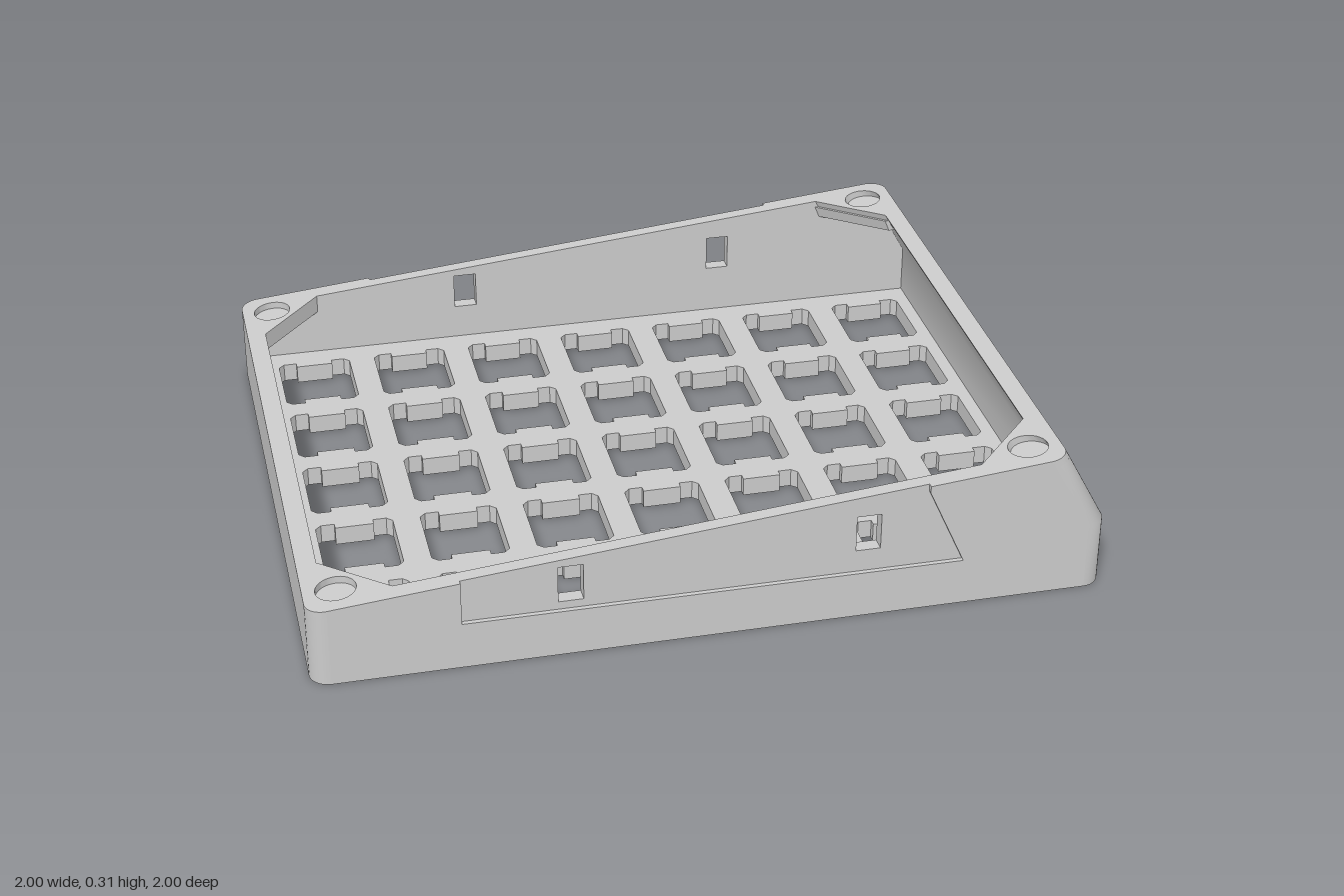
import * as THREE from 'three';
import { toCreasedNormals } from 'three/addons/utils/BufferGeometryUtils.js';

// Local frame: x = length (tall end at +x), z = width; the whole tray is turned 45 degrees.
const L = 0.8, W = 0.64, T = 0.04;        // half length, half width, wall thickness and corner radius
const RIM = 0.015, BREAK = 0.145;         // rim layer thickness, height where the tall end starts to lean
const LEAN_TOP = 0.09, LEAN_LOW = 0.082;  // lean of the tall end above and below the rim layer
const top = x => 0.165 + 0.096 * (x + L); // sloping top plane
const V = (x, y) => new THREE.Vector2(x, y);
const mat = new THREE.MeshStandardMaterial({ color: 0xcccccc });

function add(group, name, geo, z = 0) {
  const m = new THREE.Mesh(toCreasedNormals(geo, 0.6), mat);
  m.name = name;
  m.position.z = z;
  group.add(m);
}

const extrude = (shape, depth) =>
  new THREE.ExtrudeGeometry(shape, { depth, bevelEnabled: false, curveSegments: 16 });

// Horizontal slab that follows the sloping top plane, `drop` below it
function slopedSlab(shape, depth, drop, lean) {
  const g = extrude(shape, depth).rotateX(-Math.PI / 2);
  const p = g.attributes.position;
  for (let i = 0; i < p.count; i++) {
    const x = p.getX(i), y = p.getY(i);
    if (x > 0.5 && y < depth / 2) p.setX(i, x + lean);
    p.setY(i, y - depth - drop + top(x));
  }
  g.computeVertexNormals();
  return g;
}

// Grid plate: 7 x 5 openings, each with a clip tab on two sides
function gridPlate() {
  const il = L - T, iw = W - T;
  const s = new THREE.Shape([V(-il, -iw), V(il, -iw), V(il, iw), V(-il, iw)]);
  const a = 0.08, b = 0.09, c = 0.012, t = 0.04, n = 0.075;
  const quarter = [[a, b - c], [a - c, b], [t, b], [t, n]];
  const outline = [
    ...quarter,
    ...quarter.slice().reverse().map(([x, y]) => [-x, y]),
    ...quarter.map(([x, y]) => [-x, -y]),
    ...quarter.slice().reverse().map(([x, y]) => [x, -y]),
  ];
  for (let i = -3; i <= 3; i++)
    for (let j = -2; j <= 2; j++)
      s.holes.push(new THREE.Path(outline.map(([x, y]) => V(x + i * 0.217, y + j * 0.23))));
  return extrude(s, 0.04).rotateX(-Math.PI / 2);
}

// End wall with rounded corners, swept as a six-point section around the end
function endWall(sign) {
  const path = [];
  for (const side of [1, -1])
    for (let k = 0; k <= 8; k++) {
      const ang = (side > 0 ? Math.PI / 2 : 0) - k * Math.PI / 16;
      path.push([ang, side]);
    }
  const rings = path.map(([ang, side]) => {
    const ix = L - T, iz = side * (W - T);
    const ox = ix + T * Math.cos(ang), oz = iz + T * Math.sin(ang);
    const at = (x, z, level) => {
      const lean = sign > 0 && level === 2 ? LEAN_LOW : 0;
      const px = sign * (x - lean);
      const y = level === 0 ? 0 : level === 1 ? (sign > 0 ? BREAK : 0.08) : top(px) - RIM;
      return [px, y, sign * z];
    };
    return [at(ox, oz, 0), at(ox, oz, 1), at(ox, oz, 2), at(ix, iz, 2), at(ix, iz, 1), at(ix, iz, 0)];
  });
  const pos = rings.flat(2), idx = [];
  for (let i = 0; i < rings.length - 1; i++)
    for (let j = 0; j < 6; j++) {
      const k = (j + 1) % 6, p = i * 6, q = p + 6;
      idx.push(p + j, q + j, q + k, p + j, q + k, p + k);
    }
  const g = new THREE.BufferGeometry();
  g.setAttribute('position', new THREE.Float32BufferAttribute(pos, 3));
  g.setIndex(idx);
  return g;
}

// Side wall profile in (x, y), without or with the cut for the recessed panel
const P0 = -0.505, P1 = 0.5, P2 = 0.424;  // panel ends: front, rear bottom, rear top
function sideProfile(cut) {
  const e = L - T, b = e - LEAN_LOW, y = x => top(x) - RIM;
  const pts = [V(-e, 0), V(e, 0), V(e, BREAK), V(b, y(b))];
  if (cut) pts.push(V(P2, y(P2)), V(P1, 0.1), V(P0, 0.1), V(P0, y(P0)));
  pts.push(V(-e, y(-e)));
  return new THREE.Shape(pts);
}

// Rim layer: rounded outline, panel notches, chamfered opening, round corner recesses
function rimShape(skin) {
  const s = new THREE.Shape(), e = L - T, w = W - T, b = e - LEAN_TOP, h = Math.PI / 2, c = 0.13;
  s.moveTo(-e, -W);
  for (const [x, z] of [[P0, -W], [P0, skin - W], [P2, skin - W], [P2, -W], [b, -W]]) s.lineTo(x, z);
  s.absarc(b, -w, T, -h, 0, false);
  s.absarc(b, w, T, 0, h, false);
  for (const [x, z] of [[P2, W], [P2, W - skin], [P0, W - skin], [P0, W]]) s.lineTo(x, z);
  s.absarc(-e, w, T, h, 2 * h, false);
  s.absarc(-e, -w, T, 2 * h, 3 * h, false);
  s.holes.push(new THREE.Path([
    V(-e, c - w), V(c - e, -w), V(b - c, -w), V(b, c - w),
    V(b, w - c), V(b - c, w), V(c - e, w), V(-e, w - c)]));
  for (const x of [-0.735, 0.645])
    for (const z of [-0.57, 0.57])
      s.holes.push(new THREE.Path().absarc(x, z, T, 0, Math.PI * 2, true));
  return s;
}

export function createModel() {
  const model = new THREE.Group();
  model.name = 'slopedTray';
  const tray = new THREE.Group();
  tray.name = 'tray';
  tray.rotation.y = Math.PI / 4;
  model.add(tray);

  add(tray, 'gridPlate', gridPlate());
  add(tray, 'frontWall', endWall(-1));
  add(tray, 'backWall', endWall(1));

  // Side walls: inner layer with two windows, outer skin cut away around the panel
  const skin = 0.01;
  const inner = sideProfile(false);
  for (const [x, y0, y1] of [[-0.29, 0.117, 0.196], [0.305, 0.148, 0.226]])
    inner.holes.push(new THREE.Path([
      V(x - 0.025, y0), V(x - 0.025, y1), V(x + 0.025, y1), V(x + 0.025, y0)]));
  for (const s of [1, -1]) {
    const name = s > 0 ? 'rightSide' : 'leftSide';
    add(tray, name + 'Panel', extrude(inner, T - skin), s > 0 ? W - T : skin - W);
    add(tray, name + 'Skin', extrude(sideProfile(true), skin), s > 0 ? W - skin : -W);
  }

  add(tray, 'rim', slopedSlab(rimShape(skin), RIM, 0, LEAN_TOP - LEAN_LOW));

  // Corner gussets, which floor the round recesses
  for (const sx of [-1, 1])
    for (const sz of [-1, 1]) {
      const x = sx < 0 ? -(L - T) : L - T - LEAN_TOP, z = sz * (W - T), c = 0.13, o = 0.012;
      const tri = new THREE.Shape([
        V(x + sx * o, z + sz * o), V(x - sx * c, z + sz * o), V(x - sx * c, z),
        V(x, z - sz * c), V(x + sx * o, z - sz * c)]);
      add(tray, 'cornerGusset', slopedSlab(tri, 0.025, RIM, 0.01));
    }
  return model;
}
